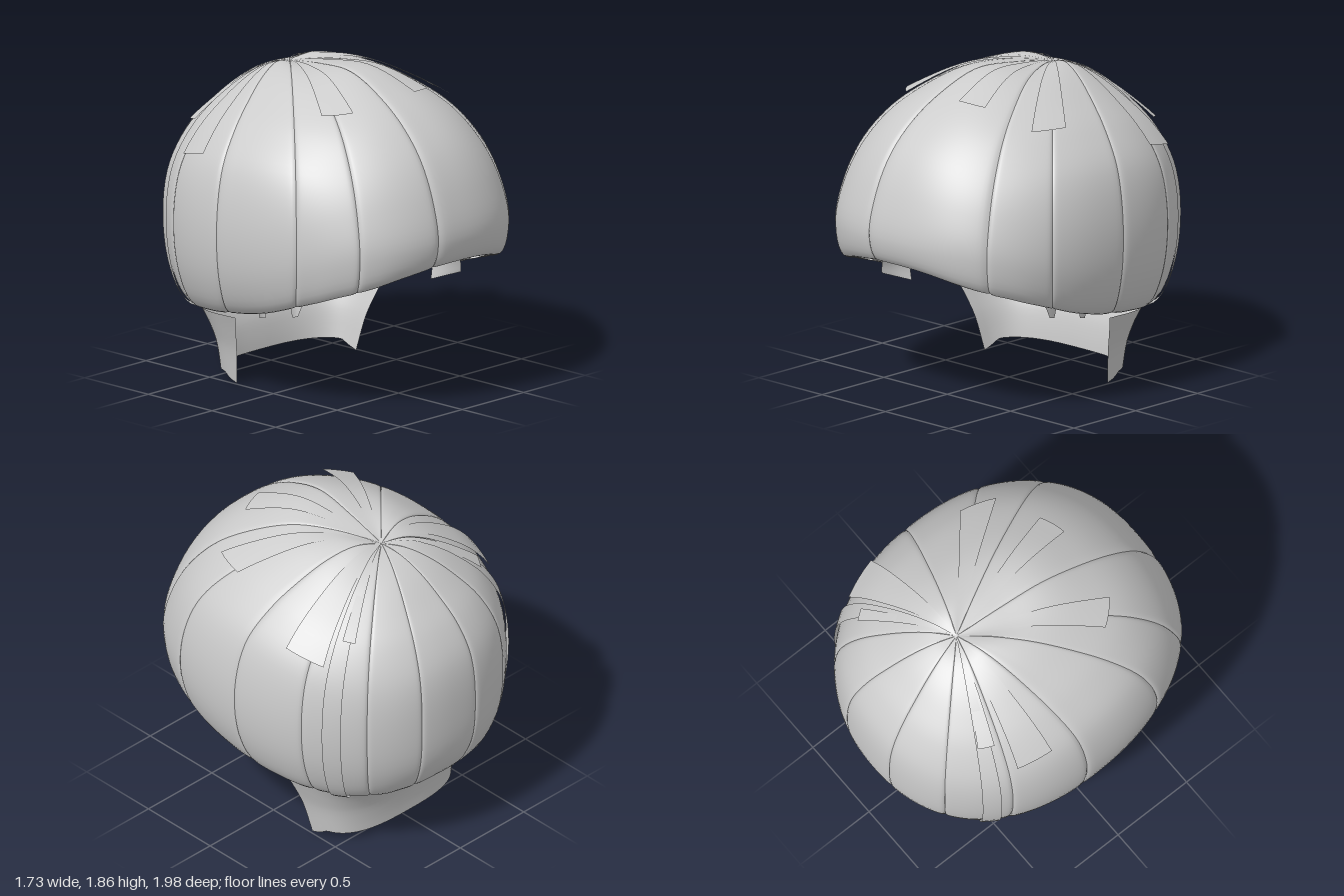
import * as THREE from 'three';

const material = new THREE.MeshStandardMaterial({ color: 0xcccccc, side: THREE.DoubleSide });
const CROWN = new THREE.Vector3(0, 1.79, -0.36);
const CORE = new THREE.Vector3(0, 1.05, -0.05);

// Crown-to-hem profiles as [fraction of the way to the outline, height],
// for front, front corner, side, back corner and back
const PROFILES = [
  [[0.2, 1.83], [0.42, 1.845], [0.62, 1.745], [0.765, 1.62], [0.88, 1.46], [0.96, 1.25], [1, 1.0], [0.965, 0.86], [0.9, 0.85]],
  [[0.2, 1.82], [0.4, 1.8], [0.6, 1.7], [0.76, 1.57], [0.89, 1.38], [0.965, 1.18], [1, 0.95], [0.96, 0.74], [0.88, 0.71]],
  [[0.18, 1.82], [0.36, 1.78], [0.56, 1.68], [0.75, 1.55], [0.92, 1.36], [1, 1.05], [0.97, 0.72], [0.86, 0.52], [0.7, 0.49]],
  [[0.2, 1.77], [0.4, 1.7], [0.6, 1.59], [0.8, 1.44], [0.95, 1.23], [1, 0.95], [0.95, 0.64], [0.82, 0.45], [0.6, 0.39]],
  [[0.2, 1.76], [0.4, 1.69], [0.6, 1.58], [0.8, 1.44], [0.95, 1.25], [1, 0.95], [0.95, 0.64], [0.78, 0.46], [0.5, 0.385]],
];

// Each ring blends the profiles smoothly round the head
const rings = PROFILES[0].map((_, j) => new THREE.CatmullRomCurve3(
  [0, 1, 2, 3, 4, 3, 2, 1].map((k) => new THREE.Vector3(...PROFILES[k][j], 0)), true, 'catmullrom', 0.5));

const soft = (c, power) => Math.sign(c) * Math.abs(c) ** power;

// Lock of hair at angle t (0 = front, quarter turn = left), running from crown to hem
function lock(t) {
  const power = Math.cos(t) > 0 ? 0.833 : 0.9;
  const ox = 0.86 * soft(Math.sin(t), power);
  const oz = 0.985 * soft(Math.cos(t), power);
  const turn = ((t / (2 * Math.PI)) % 1 + 1) % 1;
  const points = rings.map((ring) => {
    const p = ring.getPoint(turn);
    return new THREE.Vector3(ox * p.x, p.y, CROWN.z + (oz - CROWN.z) * p.x);
  });
  return new THREE.CatmullRomCurve3([CROWN, ...points], false, 'centripetal');
}

// Grid surface from a rule: at(u, v) gives a point
function sheet(name, nu, nv, at) {
  const position = [];
  const index = [];
  for (let i = 0; i <= nu; i++) {
    for (let j = 0; j <= nv; j++) {
      position.push(...at(i / nu, j / nv).toArray());
      if (i < nu && j < nv) {
        const a = i * (nv + 1) + j;
        const b = a + nv + 1;
        index.push(a, a + 1, b, b, a + 1, b + 1);
      }
    }
  }
  const geometry = new THREE.BufferGeometry();
  geometry.setAttribute('position', new THREE.Float32BufferAttribute(position, 3));
  geometry.setIndex(index);
  geometry.computeVertexNormals();
  const mesh = new THREE.Mesh(geometry, material);
  mesh.name = name;
  return mesh;
}

// Strip of hair between two angles in degrees, raised by lift(u, v) from the head
function strip(name, from, to, end, nu, nv, lift) {
  const locks = Array.from({ length: nu + 1 },
    (_, i) => lock(THREE.MathUtils.degToRad(from + ((to - from) * i) / nu)));
  return sheet(name, nu, nv, (u, v) => {
    const p = locks[Math.round(u * nu)].getPoint(v * end);
    const out = p.clone().sub(CORE).normalize();
    return p.addScaledVector(out, lift(u, v));
  });
}

export function createModel() {
  const model = new THREE.Group();
  model.name = 'bobHair';

  // Main panels with thin edges turned in along overlapping seams
  const panels = new THREE.Group();
  panels.name = 'hairPanels';
  const seams = [-8, 40, 66, 92, 118, 143, 165, 188, 212, 238, 265, 294, 319, 352];
  for (let k = 0; k + 1 < seams.length; k++) {
    panels.add(strip('hairPanel', seams[k] - 0.6, seams[k + 1] + 0.6, 1, 28, 48, (u, v) => {
      const tuck = 0.005 - 0.025 * (1 - u) ** 36 - 0.02 * u ** 36;
      const ragged = 0.005 * v ** 14 * Math.sin(u * 11 + k * 2);
      return tuck * Math.sqrt(v) + ragged;
    }));
  }
  model.add(panels);

  // Short loose locks over the crown: [angle, half width, length, lift at the tip]
  const loose = new THREE.Group();
  loose.name = 'looseLocks';
  const locks = [
    [-40, 9, 0.37, 0.03], [16, 8, 0.35, 0.02], [63, 9, 0.42, 0.03], [116, 8, 0.5, 0.05],
    [132, 3, 0.42, 0.04], [-111, 7, 0.52, 0.02], [-128, 4, 0.42, 0.03],
  ];
  for (const [angle, half, length, tip] of locks) {
    loose.add(strip('looseLock', angle - half, angle + half, length, 4, 16,
      (u, v) => 0.01 * Math.sqrt(v) + tip * v ** 3));
  }
  model.add(loose);

  // Long raised locks sweeping down behind each ear
  for (const from of [126, -133]) {
    model.add(strip('sideLock', from, from + 7, 0.95, 4, 40,
      (u, v) => 0.008 + 0.014 * Math.sin(Math.PI * Math.min(v, 0.8))));
  }

  // Nape: open-fronted band that narrows down the neck
  const halfWidth = new THREE.CatmullRomCurve3([[0.61, 0.43], [0.57, 0.33], [0.525, 0.2], [0.485, 0]]
    .map(([x, y]) => new THREE.Vector3(x, y, 0)));
  model.add(sheet('nape', 40, 12, (u, v) => {
    const p = halfWidth.getPoint(v);
    const a = Math.PI * u;
    const front = -0.19 - 0.11 * v;
    const back = -0.58 - 0.12 * (1 - v) ** 1.6;
    const drop = 0.03 * (1 - v) ** 2 * Math.sin(a);
    const rise = 0.05 * v ** 3 * Math.min(1, 4 * Math.sin(a));
    return new THREE.Vector3(
      p.x * soft(Math.cos(a), 0.7),
      p.y + rise - drop,
      front + (back - front) * Math.sin(a) ** 0.7);
  }));

  // Pointed wisps hanging inside the hem: [x, top y, z, tip x, tip y, tip z]
  const wisps = [
    [0.56, 0.74, 0.3, 0.61, 0.5, 0.28],
    [0.52, 0.72, -0.02, 0.44, 0.38, -0.14],
  ];
  for (const side of [-1, 1]) {
    for (const [x, y, z, tx, ty, tz] of wisps) {
      model.add(sheet('wisp', 3, 8, (u, v) => new THREE.Vector3(
        side * (x + (tx - x) * v + 0.1 * (u - 0.5) * v + 0.02 * Math.sin(v * 3)),
        y + (ty - y) * v + 0.05 * u * v,
        z + (tz - z) * v + (u - 0.5) * (0.2 - 0.06 * v))));
    }
  }
  return model;
}
